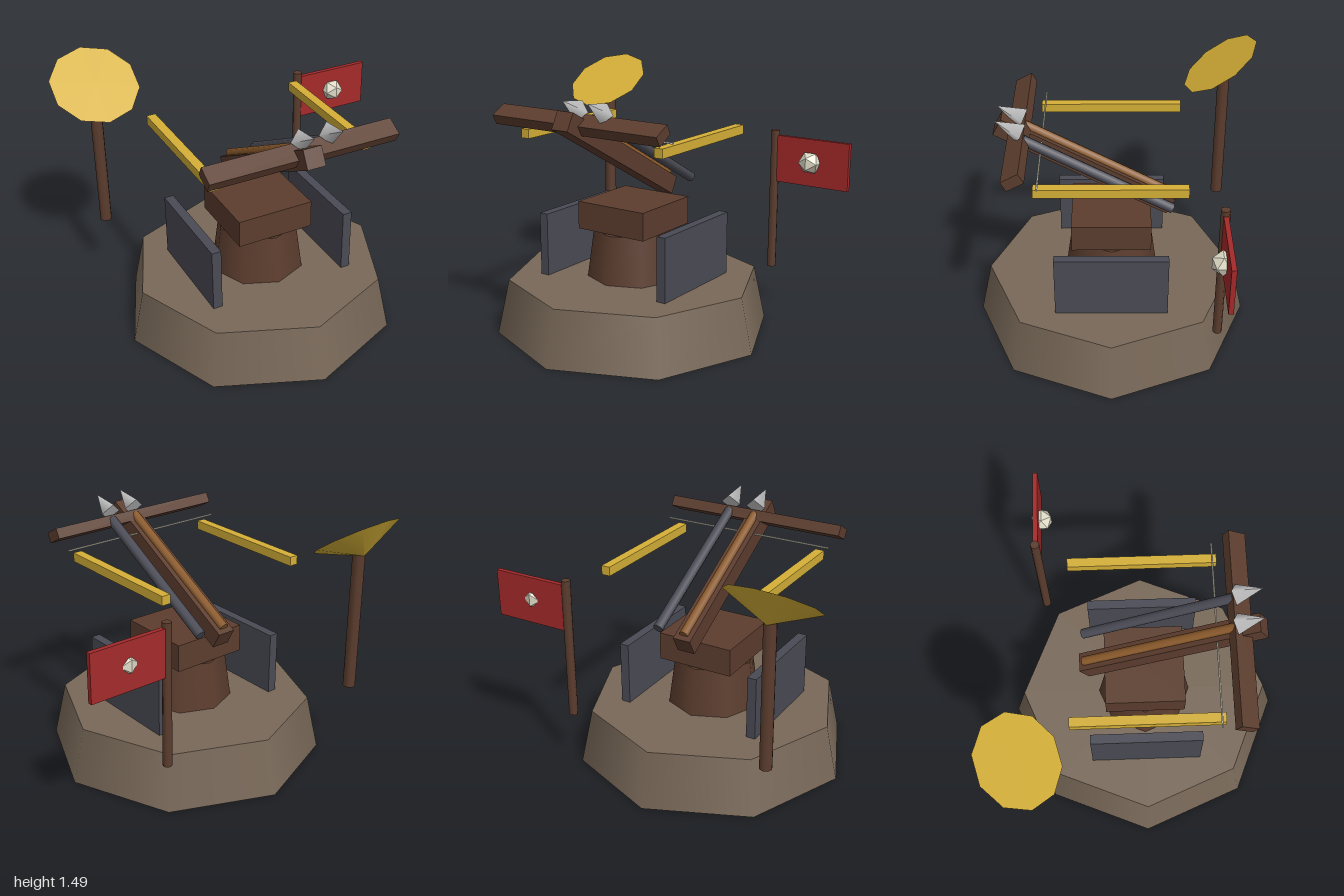
import * as THREE from 'three';

const mat = (name, color) => {
  const m = new THREE.MeshStandardMaterial({ color });
  m.name = name;
  return m;
};

export function createModel() {
  const stone = mat('stone', 0x786858);
  const wood = mat('wood', 0x5c3d2e);
  const slate = mat('slate', 0x4a4a55);
  const gold = mat('gold', 0xd4af37);
  const red = mat('red', 0xa52a2a);
  const ivory = mat('ivory', 0xe0dcc8);
  const steel = mat('steel', 0xc0c0c0);
  const oak = mat('oak', 0x8b5a2b);

  const model = new THREE.Group();
  const CX = -0.068, CZ = 0.028; // turret axis
  const TILT = 0.5;              // elevation of the weapon

  const add = (name, geo, material, x, y, z, parent = model) => {
    const mesh = new THREE.Mesh(geo, material);
    mesh.name = name;
    mesh.position.set(x, y, z);
    parent.add(mesh);
    return mesh;
  };
  const box = (w, h, d) => new THREE.BoxGeometry(w, h, d);
  const cyl = (rt, rb, h, n = 8) => new THREE.CylinderGeometry(rt, rb, h, n);

  // Octagonal base, pedestal and swivel block
  add('base', cyl(0.735, 0.807, 0.323), stone, CX, 0.1615, CZ);
  add('pedestal', cyl(0.235, 0.274, 0.282), wood, CX, 0.464, CZ);
  add('swivelBlock', box(0.457, 0.162, 0.457), wood, CX, 0.696, CZ);

  // Side shields and gilded rails
  for (const [side, s] of [['left', 1], ['right', -1]]) {
    add(side + 'Shield', box(0.055, 0.372, 0.645), slate, CX + s * 0.414, 0.509, CZ);
    add(side + 'Rail', box(0.053, 0.053, 0.825), gold, CX + s * 0.457, 1.176, CZ);
  }

  // Tilted stock, crossbar and string
  add('stock', box(0.107, 0.107, 1.108), wood, CX, 1.063, 0.17).rotation.x = -TILT;
  add('bowArm', box(1.107, 0.062, 0.107), wood, CX, 1.294, 0.534).rotation.x = TILT;
  add('bowString', cyl(0.005, 0.005, 1.053, 6).rotateZ(Math.PI / 2), ivory, -0.062, 1.232, 0.414);

  // Two bolts with pointed heads, parallel to the stock
  const bolt = (name, x, r, material) => {
    const g = new THREE.Group();
    g.name = name;
    g.position.set(x, 0.866, -0.317);
    g.rotation.x = -TILT;
    model.add(g);
    add('shaft', cyl(r, r, 0.94).rotateX(Math.PI / 2), material, 0, 0, 0.47, g);
    const head = new THREE.ConeGeometry(0.061, 0.155, 4).rotateX(Math.PI / 2);
    add('head', head, steel, 0, 0.034, 1.045, g);
  };
  bolt('loadedBolt', CX, 0.027, oak);
  bolt('spareBolt', 0.098, 0.03, slate);

  // Signal dish on its post
  add('dishPost', cyl(0.036, 0.036, 0.825), wood, -0.758, 0.8325, -0.658);
  const dish = new THREE.ConeGeometry(0.257, 0.12, 10).rotateX(Math.PI).translate(0, -0.06, 0);
  add('dish', dish, gold, -0.757, 1.34, -0.631).rotation.x = 0.6;

  // Flag with a faceted boss
  add('flagPole', cyl(0.026, 0.026, 0.832), wood, 0.528, 0.741, -0.566);
  add('flag', box(0.47, 0.275, 0.027), red, 0.765, 0.991, -0.567);
  add('flagBoss', new THREE.IcosahedronGeometry(0.067, 0), ivory, 0.767, 0.995, -0.54);

  return model;
}
